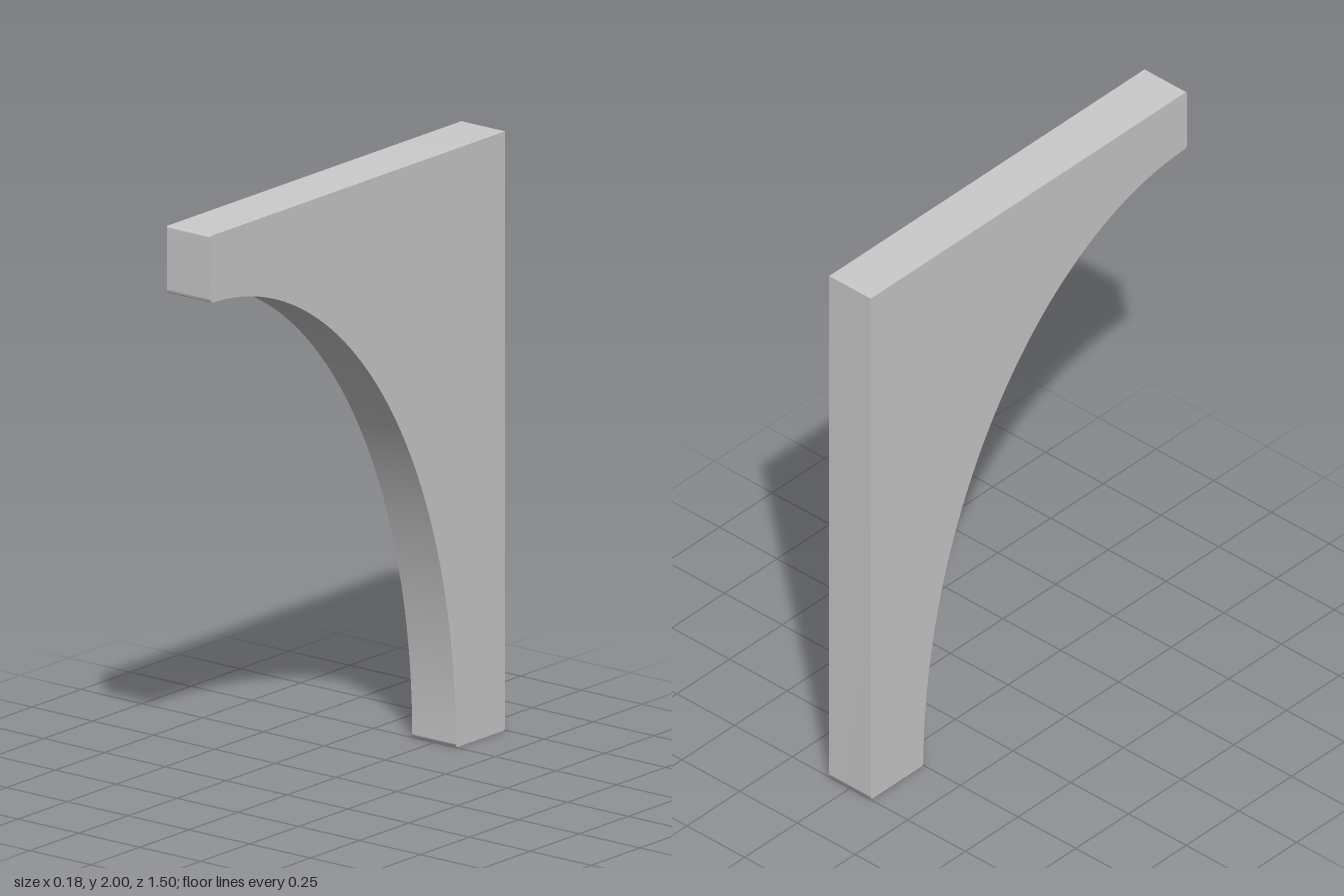
import * as THREE from 'three';
import { toCreasedNormals } from 'three/addons/utils/BufferGeometryUtils.js';

export function createModel() {
  const width = 0.18, height = 2, back = -0.75, front = 0.75;
  const archZ = 1.25, archY = 1.775; // radii of the elliptical arch
  const foot = front - archZ; // front of the foot
  const r = 0.013, rTop = 0.006; // softened corners

  // Side profile: shape x runs to the front, shape y runs up
  const s = new THREE.Shape();
  s.moveTo(back + r, 0);
  s.lineTo(foot - r, 0);
  s.quadraticCurveTo(foot, 0, foot, r);
  s.absellipse(front, 0, archZ, archY, Math.PI - r / archY, Math.PI / 2 + r / archZ, true);
  s.quadraticCurveTo(front, archY, front, archY + r);
  s.lineTo(front, height - rTop);
  s.quadraticCurveTo(front, height, front - rTop, height);
  s.lineTo(back, height);
  s.lineTo(back, r);
  s.quadraticCurveTo(back, 0, back + r, 0);

  // Extrude across the width and turn the profile to face +z
  let geometry = new THREE.ExtrudeGeometry(s, { depth: width, bevelEnabled: false, curveSegments: 32 });
  geometry.translate(0, 0, -width / 2);
  geometry.rotateY(-Math.PI / 2);
  geometry = toCreasedNormals(geometry, 0.5);

  const bracket = new THREE.Mesh(geometry, new THREE.MeshStandardMaterial({ color: 0xcccccc }));
  bracket.name = 'archedBracket';

  const group = new THREE.Group();
  group.name = 'bracket';
  group.add(bracket);
  return group;
}
